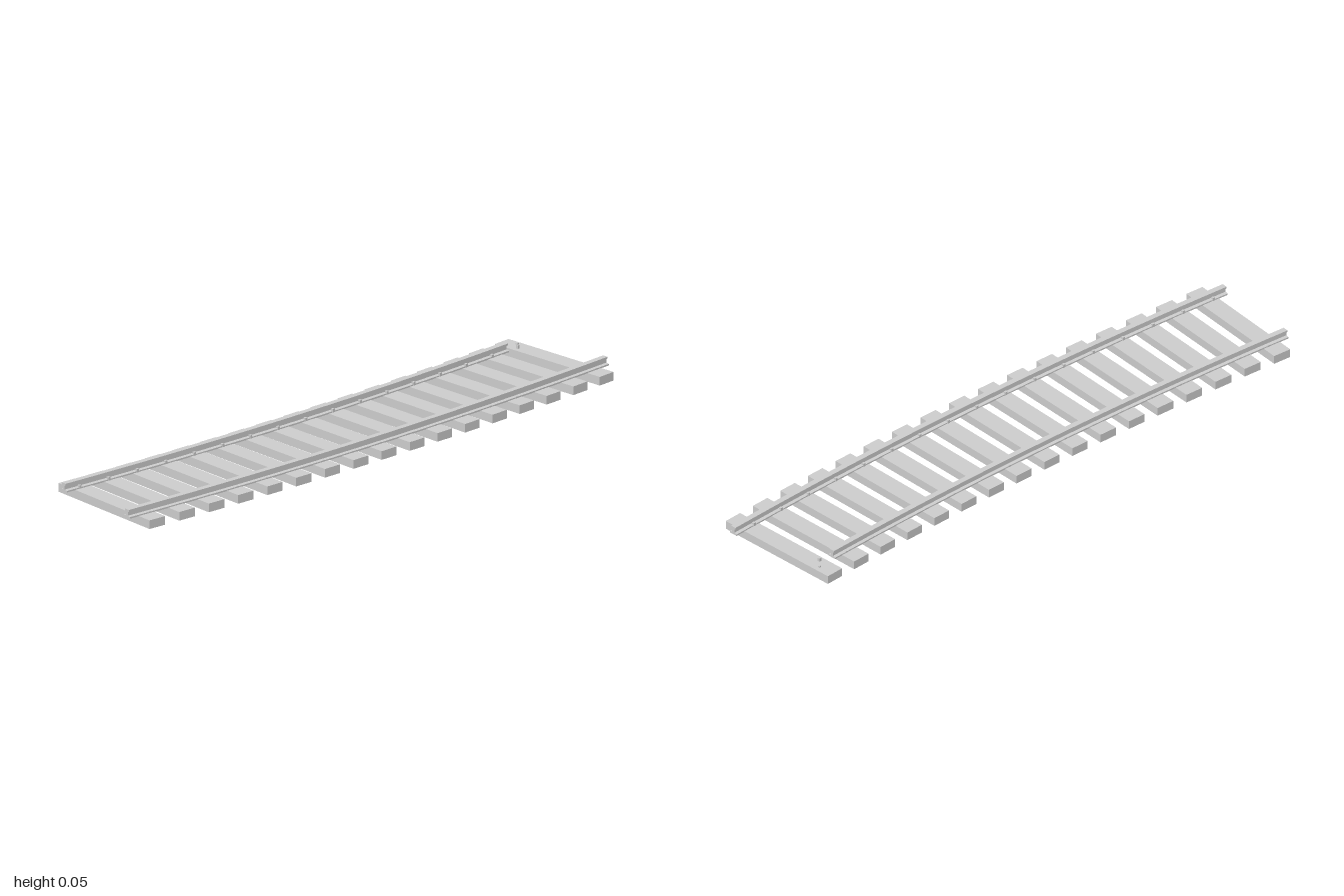
import * as THREE from 'three';

const RADIUS = 13.85;               // curve radius of the track centre line
const CENTRE_X = 0.069 - RADIUS;    // curve centre lies far to the -x side, at z = 1
const HALF_GAUGE = 0.152;
const SLEEPERS = 17;

const material = new THREE.MeshStandardMaterial({ color: 0xcccccc, flatShading: true });

// Place an object on the curve, at an offset from the centre line
function placeOnCurve(object, offset, angle, y) {
  const r = RADIUS + offset;
  object.position.set(CENTRE_X + r * Math.cos(angle), y, 1 - r * Math.sin(angle));
  object.rotation.y = angle;
  return object;
}

// I-shaped rail section: foot, web and head
function railSection() {
  const half = [
    [0.0145, 0.027], [0.0145, 0.032], [0.0045, 0.034],
    [0.0045, 0.046], [0.0095, 0.048], [0.0095, 0.054],
  ];
  const mirrored = half.map(([x, y]) => [-x, y]).reverse();
  return new THREE.Shape([...half, ...mirrored].map(([x, y]) => new THREE.Vector2(x, y)));
}

// Straight extrusion bent along the curve; endZ is where the far end stops
function curvedRail(name, offset, endZ) {
  const r = RADIUS + offset;
  const sweep = Math.asin((1 - endZ) / r);
  const geometry = new THREE.ExtrudeGeometry(railSection(), { depth: 1, steps: 24, bevelEnabled: false });
  const p = geometry.attributes.position;
  for (let i = 0; i < p.count; i++) {
    const angle = sweep * (1 - p.getZ(i));
    const radius = r + p.getX(i);
    p.setXYZ(i, CENTRE_X + radius * Math.cos(angle), p.getY(i), 1 - radius * Math.sin(angle));
  }
  geometry.computeVertexNormals();
  const mesh = new THREE.Mesh(geometry, material);
  mesh.name = name;
  return mesh;
}

export function createModel() {
  const track = new THREE.Group();
  track.name = 'curvedTrack';

  // Rails: the inner one of the curve stops short
  track.add(curvedRail('leftRail', HALF_GAUGE, -1));
  track.add(curvedRail('rightRail', -HALF_GAUGE, -0.84));

  const sleeperGeometry = new THREE.BoxGeometry(0.436, 0.028, 0.062);
  const innerSpike = new THREE.BoxGeometry(0.008, 0.013, 0.008);
  const outerSpike = new THREE.BoxGeometry(0.006, 0.007, 0.008);

  for (let i = 0; i < SLEEPERS; i++) {
    const angle = (0.065 + (1.855 * i) / (SLEEPERS - 1)) / RADIUS;
    const sleeper = new THREE.Mesh(sleeperGeometry, material);
    sleeper.name = 'sleeper';
    track.add(placeOnCurve(sleeper, 0, angle, 0.014));

    // Spikes holding the rail feet, staggered across each sleeper
    for (const side of [-1, 1]) {
      const inner = new THREE.Mesh(innerSpike, material);
      inner.name = 'innerSpike';
      track.add(placeOnCurve(inner, side * (HALF_GAUGE - 0.012), angle - 0.012 / RADIUS, 0.0325));
      const outer = new THREE.Mesh(outerSpike, material);
      outer.name = 'outerSpike';
      track.add(placeOnCurve(outer, side * (HALF_GAUGE + 0.012), angle + 0.012 / RADIUS, 0.0295));
    }
  }
  return track;
}
